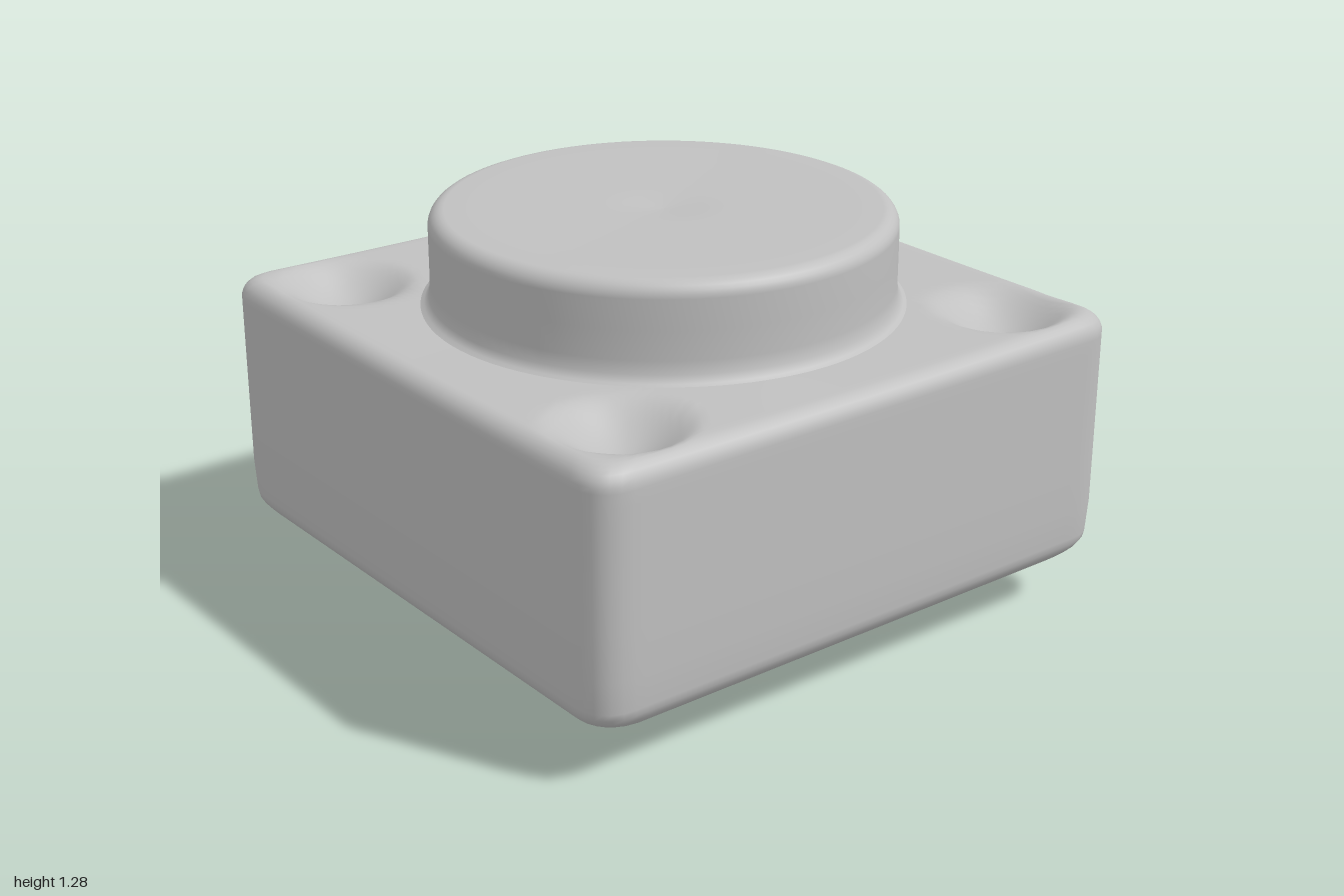
import * as THREE from 'three';

const SIDE = 48; // points along each side of a rounded-square loop

// Corner hollows in the top face: x, z
const hollows = [[0.73, 0.72], [-0.72, 0.72], [0.73, -0.75]];

// Height of the top face above its mean level at (x, z)
function topRelief(x, z) {
  let y = 0.015 * Math.pow(Math.min(1, Math.abs(x * z)), 2);
  for (const [cx, cz] of hollows) {
    const d = Math.hypot(x - cx, z - cz) / 0.22;
    if (d < 1) y -= 0.1 * Math.pow(1 - d * d, 1.5);
  }
  return y;
}

// One rounded-square ring of half-width h and corner radius r
function ring(h, r) {
  const points = [];
  for (let s = 0; s < 4; s++) {
    for (let i = 0; i < SIDE; i++) {
      let u = h, v = h * (-1 + (2 * i) / SIDE);
      for (let k = 0; k < s; k++) [u, v] = [-v, u];
      const m = h - r;
      const cu = THREE.MathUtils.clamp(u, -m, m), cv = THREE.MathUtils.clamp(v, -m, m);
      const d = Math.hypot(u - cu, v - cv);
      points.push([cu + ((u - cu) / d) * r, cv + ((v - cv) / d) * r]);
    }
  }
  return points;
}

function bodyGeometry() {
  const sections = []; // half-width, height, corner radius, relief amount
  // Shallow elliptical belly
  for (let i = 0; i <= 18; i++) {
    const a = Math.max(0.002, (i / 18) * Math.PI / 2);
    const t = Math.sin(a), h = 0.985 * t;
    sections.push([h, 0.25 * (1 - Math.cos(a)), h * (0.11 + 0.25 * (1 - t)), 0]);
  }
  // Upright walls
  for (const y of [0.35, 0.5, 0.65, 0.8, 0.87]) sections.push([0.99, y, 0.11, 0]);
  // Rounded top edge
  for (let i = 0; i <= 6; i++) {
    const a = (i / 6) * Math.PI / 2;
    sections.push([0.93 + 0.06 * Math.cos(a), 0.912 + 0.06 * Math.sin(a), 0.11 - 0.04 * i / 6, i / 6]);
  }
  // Top face, running inward beneath the cap
  for (let i = 1; i <= 30; i++) {
    const h = 0.93 - 0.022 * i;
    sections.push([h, 0.972, 0.07 * h, 1]);
  }
  sections.push([0.001, 0.972, 0.0005, 1]);

  const positions = [], index = [], n = SIDE * 4;
  sections.forEach(([h, y, r, relief], i) => {
    ring(h, r).forEach(([x, z], j) => {
      positions.push(x, y + relief * topRelief(x, z), z);
      if (i === sections.length - 1) return;
      const a = i * n + j, b = i * n + (j + 1) % n;
      index.push(a, a + n, b, b, a + n, b + n);
    });
  });
  const geometry = new THREE.BufferGeometry();
  geometry.setAttribute('position', new THREE.Float32BufferAttribute(positions, 3));
  geometry.setIndex(index);
  geometry.computeVertexNormals();
  return geometry;
}

function capGeometry() {
  // Small fillet at the foot, straight wall, rounded rim, faint central dimple
  const profile = [[0.775, 0.965], [0.745, 0.978], [0.73, 1.0], [0.725, 1.04], [0.725, 1.13], [0.725, 1.225]];
  for (let i = 1; i <= 6; i++) {
    const a = (i / 6) * Math.PI / 2;
    profile.push([0.675 + 0.05 * Math.cos(a), 1.225 + 0.05 * Math.sin(a)]);
  }
  profile.push([0.6, 1.276], [0.4, 1.274], [0.2, 1.272], [0.12, 1.268], [0.05, 1.26], [0, 1.258]);
  return new THREE.LatheGeometry(profile.map(([x, y]) => new THREE.Vector2(x, y)), 96);
}

export function createModel() {
  const group = new THREE.Group();
  const grey = new THREE.MeshStandardMaterial({ color: 0xc0c0c0 });
  grey.name = 'plain grey';

  const body = new THREE.Mesh(bodyGeometry(), grey);
  body.name = 'squareBody';
  const cap = new THREE.Mesh(capGeometry(), grey);
  cap.name = 'roundCap';
  group.add(body, cap);
  return group;
}
